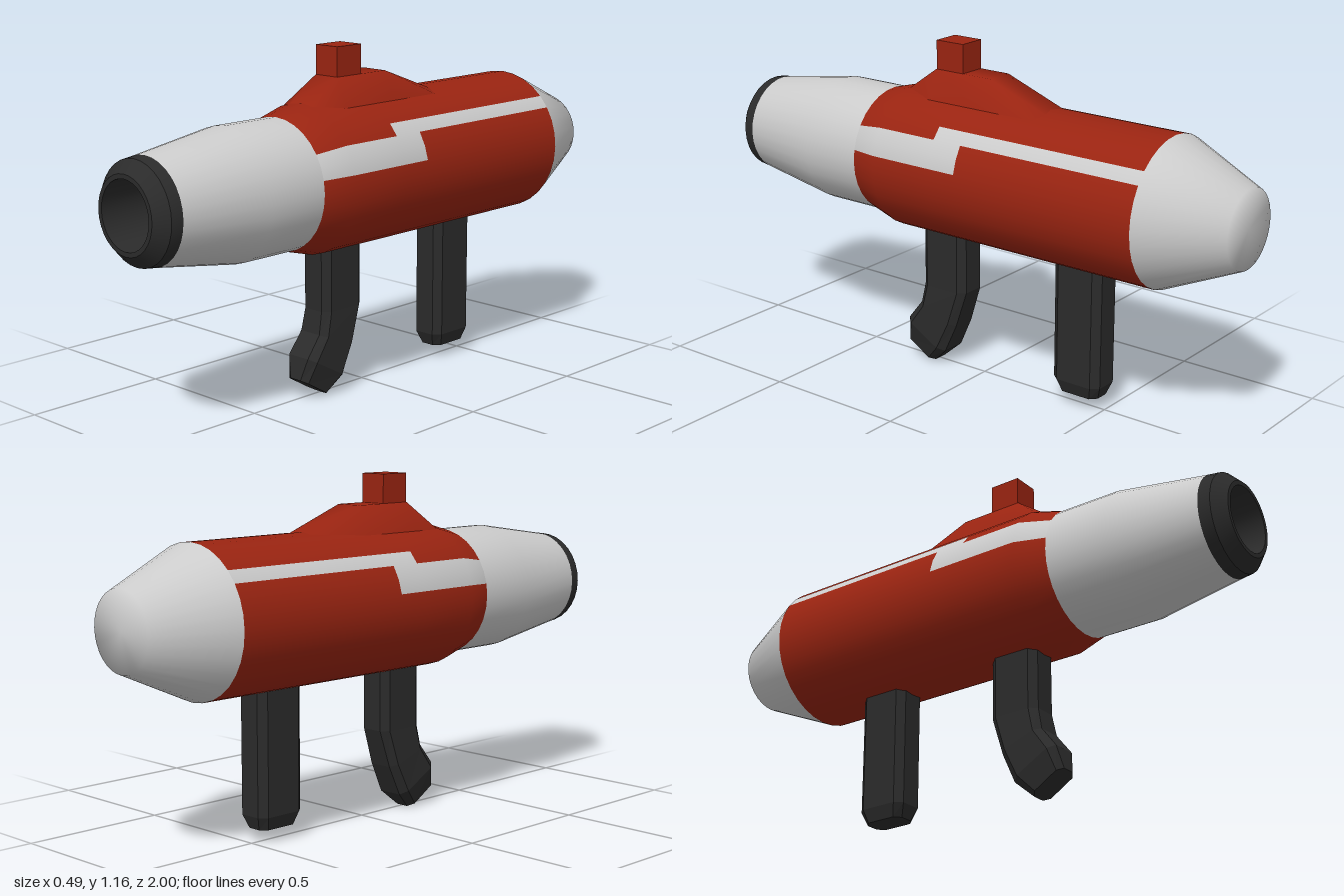
import * as THREE from 'three';
import { toCreasedNormals } from 'three/addons/utils/BufferGeometryUtils.js';

const AXIS_Y = 0.738;
const STEP = Math.PI / 16; // one side of the 32-sided barrel

const grey = new THREE.MeshStandardMaterial({ color: 0xcccccc });
const red = new THREE.MeshStandardMaterial({ color: 0x9a2411 });
const dark = new THREE.MeshStandardMaterial({ color: 0x2b2b2b });
const darkFlat = new THREE.MeshStandardMaterial({ color: 0x2b2b2b, flatShading: true });

// Turned part along z. Points are [radius, z]; sides count from the bottom towards +x.
function turned(points, first = 0, sides = 32) {
  const profile = points.map(([r, z]) => new THREE.Vector2(r, z));
  const geo = new THREE.LatheGeometry(profile, sides, first * STEP, sides * STEP);
  return geo.rotateX(Math.PI / 2).translate(0, AXIS_Y, 0);
}

// Skin over rings of [x, y, z] points; closed rings also get end caps.
function loft(rings, closed) {
  const n = rings[0].length;
  const index = [];
  for (let i = 0; i < rings.length - 1; i++) {
    for (let j = 0; j < (closed ? n : n - 1); j++) {
      const k = (j + 1) % n;
      const a = i * n + j, b = i * n + k, c = b + n, d = a + n;
      index.push(a, b, c, a, c, d);
    }
  }
  if (closed) {
    const last = (rings.length - 1) * n;
    for (let j = 1; j < n - 1; j++) {
      index.push(0, j + 1, j, last, last + j, last + j + 1);
    }
  }
  const geo = new THREE.BufferGeometry();
  geo.setAttribute('position', new THREE.Float32BufferAttribute(rings.flat(2), 3));
  geo.setIndex(index);
  geo.computeVertexNormals();
  return geo;
}

// Chamfered grip section between a front and a back point, with half width w.
function gripRing([zf, yf, zb, yb, w]) {
  const c = w - 0.022;
  return [[w, 0.14], [w, 0.86], [c, 1], [-c, 1], [-w, 0.86], [-w, 0.14], [-c, 0], [c, 0]]
    .map(([x, s]) => [x, yb + (yf - yb) * s, zb + (zf - zb) * s]);
}

export function createModel() {
  const model = new THREE.Group();
  const add = (name, geo, material) => {
    const mesh = new THREE.Mesh(geo, material);
    mesh.name = name;
    model.add(mesh);
  };

  // Main tube, split into coloured panels
  const tube = [[0.247, -0.735], [0.247, -0.06], [0.247, 0.05], [0.247, 0.28], [0.217, 0.39]];
  const rear = tube[0][1], front = tube[4][1];
  const panel = (name, z0, z1, first, sides, material) =>
    add(name, turned(tube.filter(([, z]) => z >= z0 && z <= z1), first, sides), material);

  panel('lowerShell', rear, front, -9, 18, red);
  panel('upperShell', rear, front, 12, 8, red);
  for (const [side, wide, narrow] of [['left', 9, 11], ['right', 21, 20]]) {
    panel(side + 'SidePanel', rear, -0.06, wide, 2, red);
    panel(side + 'WideStripe', -0.06, front, wide, 2, grey);
    panel(side + 'NarrowStripe', rear, 0.05, narrow, 1, grey);
    panel(side + 'ShoulderPanel', 0.05, front, narrow, 1, red);
  }

  // Nose, tail and muzzle
  add('tailCone', turned([[0, -1], [0.13, -1], [0.247, -0.735]]), grey);
  add('frontBarrel', turned([[0.217, 0.39], [0.217, 0.61], [0.17, 0.92]]), grey);
  add('muzzleRing', toCreasedNormals(turned(
    [[0.17, 0.92], [0.165, 0.96], [0.125, 1], [0.11, 1], [0.11, 0.82]]), 0.6), dark);
  add('boreEnd', turned([[0.11, 0.82], [0.08, 0.785], [0, 0.765]]), grey);

  // Sight mount on top
  const mount = [[-0.28, 0.98], [-0.06, 1.062], [0.165, 1.062], [0.28, 0.98]].map(([z, y]) =>
    [[0.098, 0.957, z], [0.048, y, z], [-0.048, y, z], [-0.098, 0.957, z]]);
  add('sightMount', loft(mount, false), red);
  add('sightPost', new THREE.BoxGeometry(0.096, 0.16, 0.11).translate(0, 1.08, 0.108), red);

  // Grips
  add('frontGrip', loft([
    [0.23, 0.55, 0.05, 0.55, 0.06],
    [0.23, 0.29, 0.05, 0.29, 0.06],
    [0.245, 0.215, 0.092, 0.16, 0.064],
    [0.3, 0.145, 0.14, 0.055, 0.066],
    [0.315, 0.07, 0.2, 0, 0.045],
  ].map(gripRing), true), darkFlat);
  add('rearGrip', loft([
    [-0.322, 0.55, -0.505, 0.55, 0.06],
    [-0.322, 0.09, -0.505, 0.09, 0.06],
    [-0.34, 0.045, -0.488, 0.045, 0.045],
  ].map(gripRing), true), darkFlat);

  return model;
}
